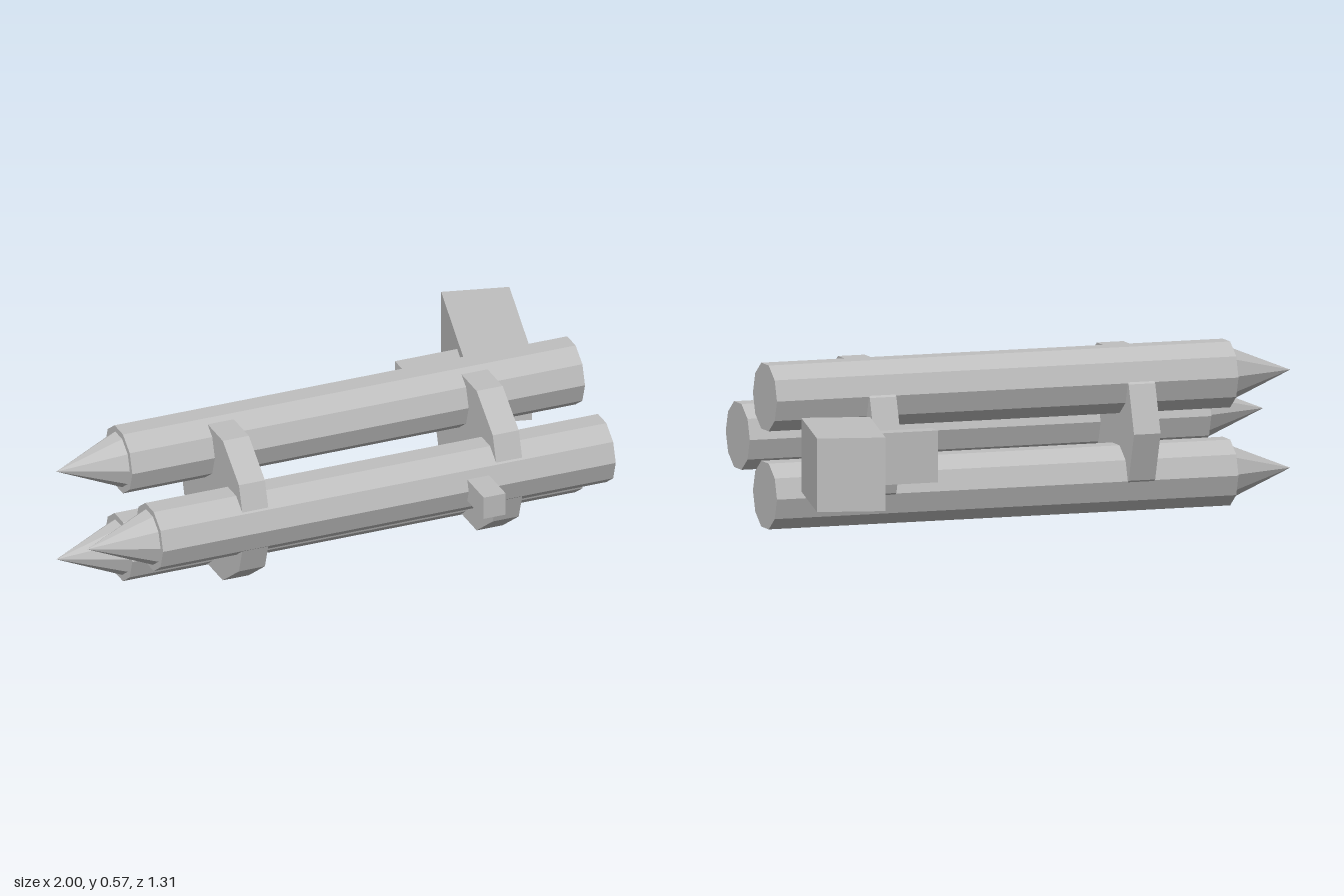
import * as THREE from 'three';

export function createModel() {
  const group = new THREE.Group();
  const grey = new THREE.MeshStandardMaterial({ color: 0xbfbfbf, flatShading: true });
  grey.name = 'plain grey';

  const add = (name, geometry, x, y, z) => {
    const mesh = new THREE.Mesh(geometry, grey);
    mesh.name = name;
    mesh.position.set(x, y, z);
    group.add(mesh);
    return mesh;
  };

  // Ten-sided solid lying along x; the first radius is at the -x end
  const prism = (rTip, rBase, length) =>
    new THREE.CylinderGeometry(rTip, rBase, length, 10).rotateZ(Math.PI / 2);

  const midY = 0.287;

  // Three tubes with slightly narrower pointed noses
  const tubes = [
    ['front', midY, 0.398],
    ['upperRear', 0.457, 0.127],
    ['lowerRear', 0.117, 0.127],
  ];
  for (const [place, y, z] of tubes) {
    add(place + 'Tube', prism(0.12, 0.12, 1.687), 0.0765, y, z);
    add(place + 'Nose', prism(0, 0.098, 0.233), -0.8835, y, z);
  }

  // Solid discs clamping the tubes together
  for (const [place, x] of [['right', -0.411], ['left', 0.535]]) {
    add(place + 'Clamp', prism(0.284, 0.284, 0.097), x, midY, 0.229);
  }

  // Small peg on the front tube
  add('peg', new THREE.BoxGeometry(0.082, 0.082, 0.2), 0.413, midY, 0.55);

  // Detached block and the short arm running into it
  add('arm', new THREE.BoxGeometry(0.3, 0.18, 0.063), 0.598, midY, -0.28);
  add('block', new THREE.BoxGeometry(0.237, 0.255, 0.502), 0.82, midY, -0.383).rotation.y =
    -THREE.MathUtils.degToRad(14);

  return group;
}
